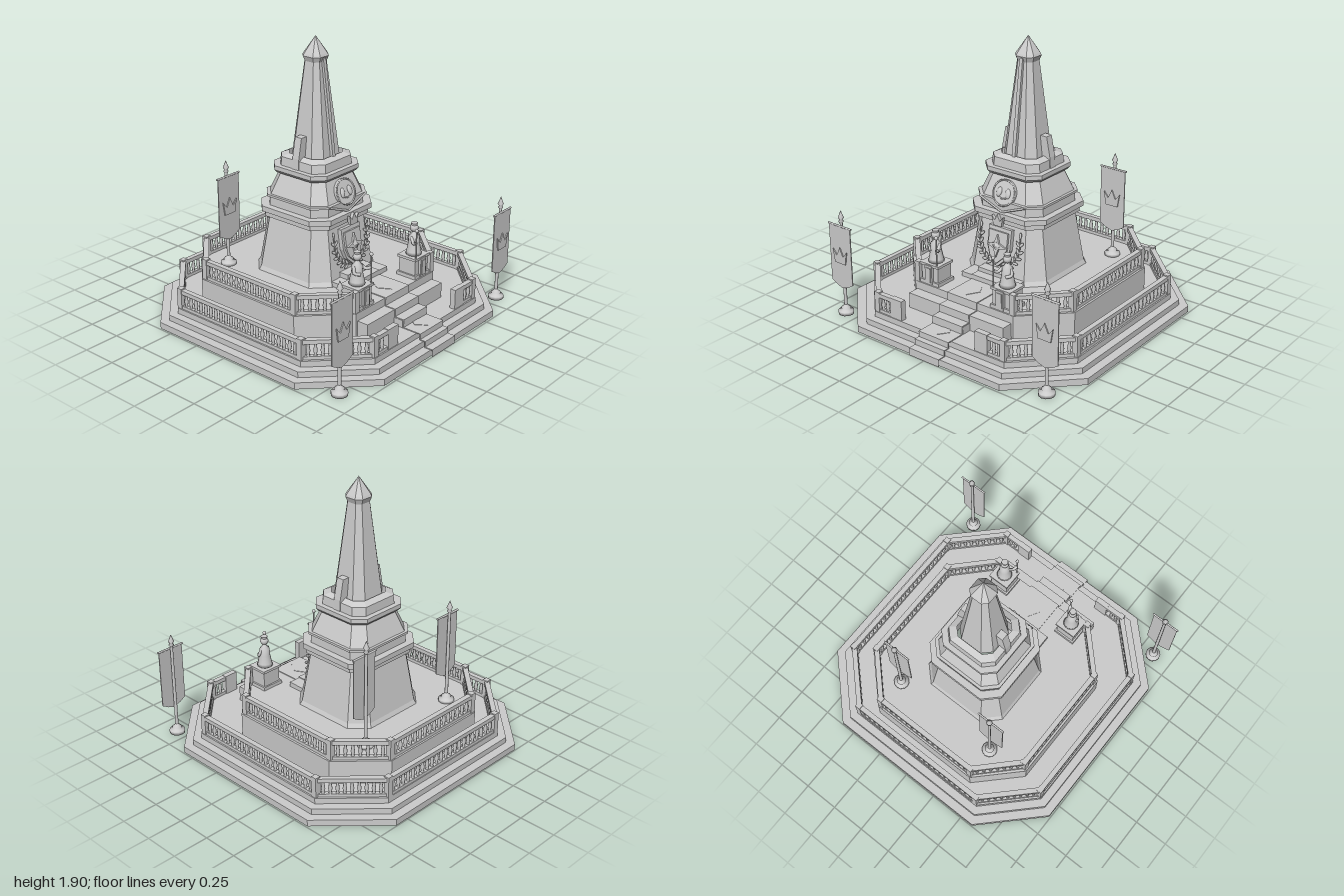
import * as THREE from 'three';

const stone = new THREE.MeshStandardMaterial({ color: 0xcccccc, side: THREE.DoubleSide });
stone.name = 'pale stone';
const CX = -0.0875; // centre of the tower and upper terrace

function add(parent, name, geometry, x = 0, y = 0, z = 0) {
  const mesh = new THREE.Mesh(geometry, stone);
  mesh.name = name;
  mesh.position.set(x, y, z);
  parent.add(mesh);
  return mesh;
}

// box given by its limits on each axis
function block(parent, name, x0, x1, y0, y1, z0, z1) {
  return add(parent, name, new THREE.BoxGeometry(x1 - x0, y1 - y0, z1 - z0),
    (x0 + x1) / 2, (y0 + y1) / 2, (z0 + z1) / 2);
}

function corners(h, c) {
  return [[h, -c], [h, c], [c, h], [-c, h], [-h, c], [-h, -c], [-c, -h], [c, -h]];
}

// open shell through chamfered-square rings [y, halfWidth, cornerPosition, centreX]
function shell(rings) {
  const pos = [];
  for (let i = 0; i + 1 < rings.length; i++) {
    const [lo, hi] = [rings[i], rings[i + 1]].map(([y, h, c, cx = CX]) =>
      corners(h, c).map(([x, z]) => [x + cx, y, z]));
    for (let j = 0; j < 8; j++) {
      const k = (j + 1) % 8;
      pos.push(...lo[j], ...hi[j], ...lo[k], ...lo[k], ...hi[j], ...hi[k]);
    }
  }
  const g = new THREE.BufferGeometry();
  g.setAttribute('position', new THREE.Float32BufferAttribute(pos, 3));
  g.computeVertexNormals();
  return g;
}

function plate(points, depth) {
  const shape = new THREE.Shape(points.map(([x, y]) => new THREE.Vector2(x, y)));
  return new THREE.ExtrudeGeometry(shape, { depth, bevelEnabled: false });
}

function lathe(points, sides = 12) {
  return new THREE.LatheGeometry(points.map(([r, y]) => new THREE.Vector2(r, y)), sides);
}

// group whose local +z looks along +x, leaning back by tilt
function facing(parent, name, x, y, z = 0, tilt = 0) {
  const g = new THREE.Group();
  g.name = name;
  g.rotation.order = 'YXZ';
  g.rotation.set(-tilt, Math.PI / 2, 0);
  g.position.set(x, y, z);
  parent.add(g);
  return g;
}

const crownPoints = (s) => [[-0.045, 0], [0.045, 0], [0.06, 0.09], [0.028, 0.05], [0, 0.11],
  [-0.028, 0.05], [-0.06, 0.09]].map(([x, y]) => [x * s, y * s]);

const balusterGeometry = lathe([[0.012, 0], [0.009, 0.012], [0.014, 0.035], [0.009, 0.07], [0.013, 0.092]], 8);

// straight balustrade between two ground points
function railing(parent, a, b, y) {
  const g = new THREE.Group();
  g.name = 'balustrade';
  const dx = b[0] - a[0], dz = b[1] - a[1], len = Math.hypot(dx, dz);
  g.position.set((a[0] + b[0]) / 2, y, (a[1] + b[1]) / 2);
  g.rotation.y = -Math.atan2(dz, dx);
  block(g, 'bottomRail', -len / 2, len / 2, 0, 0.022, -0.015, 0.015);
  block(g, 'topRail', -len / 2, len / 2, 0.108, 0.136, -0.018, 0.018);
  const n = Math.max(2, Math.round(len / 0.046));
  for (let i = 1; i < n; i++) add(g, 'baluster', balusterGeometry, -len / 2 + (len * i) / n, 0.02, 0);
  parent.add(g);
}

function post(parent, [x, z], y) {
  block(parent, 'railPost', x - 0.02, x + 0.02, y, y + 0.145, z - 0.02, z + 0.02);
}

function bannerPole(parent, x, y, z) {
  const g = facing(parent, 'bannerPole', x, y, z);
  add(g, 'poleFoot', lathe([[0, 0], [0.054, 0], [0.054, 0.024], [0.03, 0.03], [0.034, 0.045], [0.014, 0.06], [0.012, 0.07]], 12));
  add(g, 'pole', new THREE.CylinderGeometry(0.01, 0.012, 0.65, 10), 0, 0.365, 0);
  add(g, 'finial', lathe([[0.01, 0.675], [0.018, 0.685], [0.01, 0.7], [0.021, 0.71], [0, 0.765]], 10));
  const bar = add(g, 'crossbar', new THREE.CylinderGeometry(0.007, 0.007, 0.21, 8), 0, 0.655, 0.016);
  bar.rotation.z = Math.PI / 2;
  add(g, 'banner', plate([[-0.097, 0.655], [-0.097, 0.24], [-0.05, 0.212], [0, 0.195],
    [0.05, 0.212], [0.097, 0.24], [0.097, 0.655]], 0.007), 0, 0, 0.014);
  add(g, 'bannerCrown', plate(crownPoints(1.05), 0.008), 0, 0.385, 0.023);
}

function statue(parent, s) {
  const g = new THREE.Group();
  g.name = 'guardianStatue';
  g.position.set(0.52, 0.29, 0.302 * s);
  parent.add(g);
  block(g, 'pedestalBase', -0.078, 0.078, 0, 0.025, -0.082, 0.082);
  block(g, 'pedestal', -0.066, 0.066, 0.025, 0.13, -0.07, 0.07);
  block(g, 'pedestalCap', -0.076, 0.076, 0.13, 0.148, -0.08, 0.08);
  block(g, 'pedestalPlaque', 0.064, 0.084, 0.005, 0.14, -0.03, 0.03);
  block(g, 'plaqueInset', 0.084, 0.09, 0.02, 0.125, -0.02, 0.02);
  add(g, 'robe', lathe([[0, 0.148], [0.056, 0.148], [0.05, 0.17], [0.038, 0.23], [0.036, 0.275], [0.015, 0.3], [0.013, 0.315]], 14));
  add(g, 'head', new THREE.SphereGeometry(0.029, 14, 10), 0, 0.337, 0);
  add(g, 'headBand', new THREE.CylinderGeometry(0.024, 0.02, 0.02, 10), 0, 0.362, 0);
  const arm = (name, pts) => add(g, name, new THREE.TubeGeometry(
    new THREE.CatmullRomCurve3(pts.map((p) => new THREE.Vector3(...p))), 8, 0.011, 8));
  arm('staffArm', [[0, 0.275, -0.03 * s], [0.035, 0.245, -0.05 * s], [0.066, 0.26, -0.062 * s]]);
  arm('restingArm', [[0, 0.275, 0.03 * s], [0.012, 0.235, 0.042 * s], [0.04, 0.225, 0.015 * s]]);
  add(g, 'staff', new THREE.CylinderGeometry(0.005, 0.005, 0.2, 8), 0.066, 0.248, -0.062 * s);
  add(g, 'staffHead', new THREE.SphereGeometry(0.013, 10, 8), 0.066, 0.35, -0.062 * s);
}

export function createModel() {
  const model = new THREE.Group();
  model.name = 'monument';

  // stepped octagonal base and upper terrace, hollow beneath
  add(model, 'terraces', shell([
    [0, 0.99, 0.6, -0.005], [0.045, 0.99, 0.6, -0.005], [0.045, 0.93, 0.575, -0.005],
    [0.085, 0.93, 0.575, -0.005], [0.085, 0.875, 0.55, -0.005], [0.125, 0.875, 0.55, -0.005],
    [0.125, 0.695, 0.415], [0.29, 0.695, 0.415], [0.29, 0.335, 0.225]]));

  // tapering tower tiers with cornices
  add(model, 'tower', shell([
    [0.29, 0.335, 0.225], [0.32, 0.322, 0.215], [0.68, 0.262, 0.185], [0.68, 0.29, 0.2],
    [0.72, 0.29, 0.2], [0.72, 0.312, 0.21], [0.757, 0.312, 0.21], [0.757, 0.265, 0.18],
    [0.82, 0.262, 0.18], [0.82, 0.278, 0.19], [0.836, 0.278, 0.19], [0.836, 0.258, 0.175],
    [0.985, 0.2, 0.135], [0.985, 0.22, 0.15], [1.005, 0.236, 0.16], [1.035, 0.236, 0.16],
    [1.035, 0.2, 0.135], [1.095, 0.195, 0.13], [1.115, 0.15, 0.1]]));
  add(model, 'obelisk', shell([
    [1.08, 0.14, 0.082], [1.74, 0.064, 0.036], [1.775, 0.077, 0.042], [1.79, 0.07, 0.038], [1.905, 0, 0]]));

  // raised rib down the obelisk's decorated face
  const rib = add(model, 'obeliskRib', plate([[-0.035, 1.77], [-0.01, 1.765], [0.075, 1.09], [0.02, 1.09]], 0.026));
  rib.position.z = -0.013;

  for (const s of [-1, 1]) {
    // side buttress leaning on the obelisk
    const pier = plate([[0.1, 1.035], [0.205, 1.035], [0.2, 1.11], [0.172, 1.25], [0.1, 1.25]], 0.055);
    add(model, 'buttress', pier, s > 0 ? -0.0625 : -0.1175, 0, 0).rotation.y = -s * Math.PI / 2;
    statue(model, s);
    bannerPole(model, 0.84, 0, 0.855 * s);
    bannerPole(model, -0.54, 0.285, 0.4 * s);

    // lower and upper balustrades, mirrored
    const low = [[0.845, 0.41], [0.845, 0.53], [0.525, 0.85], [-0.54, 0.85], [-0.86, 0.53]];
    const high = [[0.585, 0.4], [0.31, 0.665], [-0.485, 0.665], [-0.755, 0.4]];
    for (const [run, y] of [[low, 0.125], [high, 0.29]]) {
      const pts = run.map(([x, z]) => [x, z * s]);
      pts.forEach((p, i) => {
        if (i || y > 0.2) post(model, p, y);
        if (i) railing(model, pts[i - 1], p, y);
      });
    }
    block(model, 'railEndPanel', 0.825, 0.865, 0.125, 0.265, s > 0 ? 0.31 : -0.41, s > 0 ? 0.41 : -0.31);
  }
  railing(model, [-0.86, -0.53], [-0.86, 0.53], 0.125);
  railing(model, [-0.755, -0.4], [-0.755, 0.4], 0.29);

  // approach stairs and floor runner
  block(model, 'wideStep', 0.6, 0.69, 0.127, 0.235, -0.4, 0.4);
  block(model, 'middleStep', 0.68, 0.76, 0.127, 0.18, -0.125, 0.125);
  block(model, 'altarStep', 0.2, 0.365, 0.292, 0.325, -0.215, 0.215);
  block(model, 'altarBlock', 0.2, 0.3, 0.292, 0.36, -0.125, 0.125);
  const treads = [[0.3, 0.365, 0.325], [0.365, 0.615, 0.292], [0.615, 0.695, 0.236],
    [0.695, 0.765, 0.182], [0.765, 0.9, 0.127], [0.9, 0.94, 0.087], [0.94, 1, 0.047]];
  treads.forEach(([x0, x1, y], i) => {
    block(model, 'runner', x0, x1, y, y + 0.006, -0.125, 0.125);
    const next = treads[i + 1] ? treads[i + 1][2] : 0;
    block(model, 'runnerFall', x1 - 0.002, x1 + (treads[i + 1] ? 0.004 : 0), next, y + 0.006, -0.125, 0.125);
  });
  for (const [x, y, r] of [[0.49, 0.298, 0.085], [0.8, 0.133, 0.07]]) {
    const diamond = plate([[-r, 0], [0, -0.05], [r, 0], [0, 0.05]], 0.003);
    add(model, 'runnerDiamond', diamond, x, y, 0).rotation.x = -Math.PI / 2;
  }

  // shield with a four-pointed star
  const shield = facing(model, 'shield', 0.205, 0.51, 0, 0.15);
  const shieldPoints = (k) => [[-0.095, 0.14], [0.095, 0.14], [0.095, 0], [0.07, -0.07], [0, -0.135],
    [-0.07, -0.07], [-0.095, 0]].map(([x, y]) => [x * k, y * k]);
  add(shield, 'shieldBack', plate(shieldPoints(1), 0.03));
  add(shield, 'shieldFace', plate(shieldPoints(0.82), 0.045));
  const star = [];
  for (let i = 0; i < 8; i++) {
    const a = (i * Math.PI) / 4, r = i % 2 ? 0.028 : 0.08;
    star.push([Math.cos(a) * r, Math.sin(a) * r + 0.015]);
  }
  add(shield, 'shieldStar', plate(star, 0.06));
  add(shield, 'shieldBoss', new THREE.ConeGeometry(0.035, 0.03, 4), 0, 0.015, 0.07).rotation.x = Math.PI / 2;

  // laurel branches around the shield
  const laurel = facing(model, 'laurel', 0.21, 0.51, 0, 0.15);
  for (const s of [-1, 1]) {
    const curve = new THREE.CatmullRomCurve3([[0.02, -0.125], [0.1, -0.095], [0.16, -0.02], [0.165, 0.1]]
      .map(([x, y]) => new THREE.Vector3(x * s, y, 0.015)));
    add(laurel, 'branch', new THREE.TubeGeometry(curve, 16, 0.005, 6));
    for (let i = 1; i <= 7; i++) {
      const p = curve.getPoint(i / 7), t = curve.getTangent(i / 7);
      for (const side of i < 7 ? [-1, 1] : [0]) {
        const a = Math.atan2(t.y, t.x) + side * 0.75;
        const leaf = add(laurel, 'leaf', new THREE.SphereGeometry(1, 8, 6),
          p.x + Math.cos(a) * 0.022, p.y + Math.sin(a) * 0.022, 0.017);
        leaf.scale.set(0.024, 0.01, 0.006);
        leaf.rotation.z = a;
      }
    }
  }

  // crown on the cornice, hanging gable and round medallion
  add(facing(model, 'corniceCrown', 0.222, 0.675), 'crown', plate(crownPoints(0.75), 0.025));
  const gable = facing(model, 'gable', 0.165, 0);
  add(gable, 'gablePanel', plate([[-0.19, 0.836], [-0.1, 0.8], [0, 0.755], [0.1, 0.8], [0.19, 0.836]], 0.03));
  for (const s of [-1, 1]) {
    const edge = new THREE.LineCurve3(new THREE.Vector3(0.19 * s, 0.832, 0.03), new THREE.Vector3(0, 0.757, 0.03));
    add(gable, 'gableMoulding', new THREE.TubeGeometry(edge, 1, 0.008, 6));
  }
  const medal = facing(model, 'medallion', 0.152, 0.88, 0, 0.36);
  add(medal, 'disc', new THREE.CylinderGeometry(0.09, 0.09, 0.03, 28), 0, 0, 0.01).rotation.x = Math.PI / 2;
  add(medal, 'rim', new THREE.TorusGeometry(0.087, 0.006, 6, 28), 0, 0, 0.025);
  for (const s of [-1, 1]) {
    const drop = add(medal, 'drop', new THREE.SphereGeometry(1, 12, 8), 0.036 * s, 0, 0.026);
    drop.scale.set(0.02, 0.034, 0.012);
    drop.rotation.z = 0.15 * s;
  }
  const arc = add(medal, 'arc', new THREE.TorusGeometry(0.05, 0.005, 6, 14, 1.2), 0, 0.01, 0.027);
  arc.rotation.z = -Math.PI / 2 - 0.6;
  return model;
}
